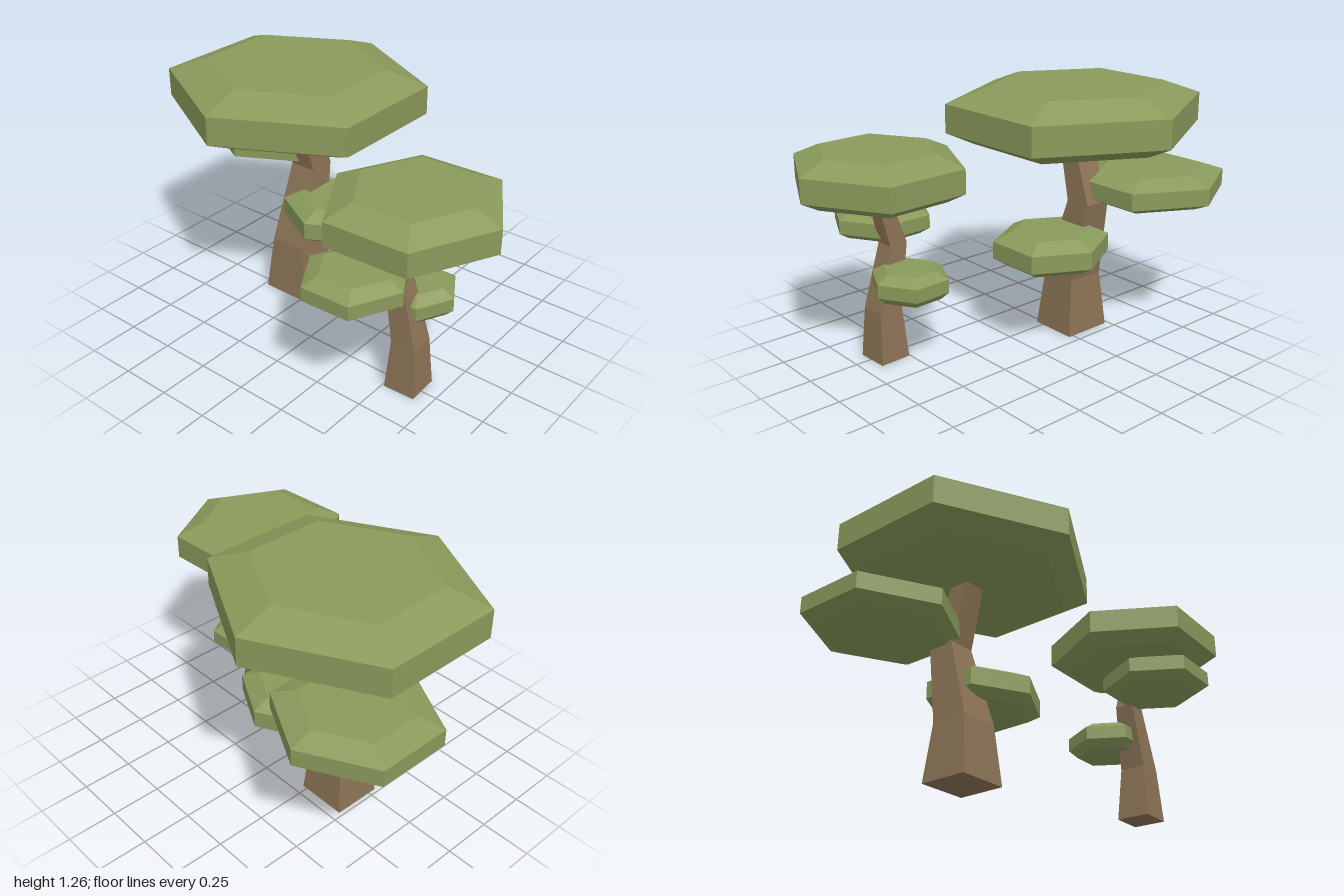
import * as THREE from 'three';

const leafGreen = new THREE.MeshStandardMaterial({ color: 0x8a9a5b });
leafGreen.name = 'leafGreen';
const barkBrown = new THREE.MeshStandardMaterial({ color: 0x8b7355 });
barkBrown.name = 'barkBrown';

// Split faces so every facet is shaded flat
function faceted(geometry) {
  const flat = geometry.toNonIndexed();
  flat.computeVertexNormals();
  return flat;
}

// Square trunk that bends and tapers; sections are [y, x, z, width, depth]
function makeTrunk(sections) {
  const rows = sections.length - 1;
  const geometry = new THREE.BoxGeometry(1, rows, 1, 1, rows, 1);
  const p = geometry.attributes.position;
  for (let i = 0; i < p.count; i++) {
    const [y, x, z, w, d] = sections[Math.round(p.getY(i) + rows / 2)];
    p.setXYZ(i, x + p.getX(i) * w, y, z + p.getZ(i) * d);
  }
  const mesh = new THREE.Mesh(faceted(geometry), barkBrown);
  mesh.name = 'trunk';
  return mesh;
}

// Flat six-sided foliage pad with bevelled top and bottom; ys lists its four heights
function makePad(name, x, z, rx, rz, ys, turn = 0) {
  const radii = [0.79, 1, 1, 0.69];
  const profile = [new THREE.Vector2(0, ys[0])];
  radii.forEach((r, i) => profile.push(new THREE.Vector2(r, ys[i])));
  profile.push(new THREE.Vector2(0, ys[3]));
  const geometry = new THREE.LatheGeometry(profile, 6);
  geometry.rotateY(turn).scale(rx, 1, rz).translate(x, 0, z);
  const mesh = new THREE.Mesh(faceted(geometry), leafGreen);
  mesh.name = name;
  return mesh;
}

export function createModel() {
  const model = new THREE.Group();
  model.name = 'flatTopTrees';

  // Large tree
  const large = new THREE.Group();
  large.name = 'largeTree';
  large.position.set(-0.352, 0, -0.08);
  large.add(
    makeTrunk([
      [0, 0, 0, 0.255, 0.243],
      [0.29, 0.002, -0.003, 0.2, 0.187],
      [0.695, 0.004, -0.102, 0.14, 0.136],
      [1.04, 0.002, 0.01, 0.11, 0.095],
    ]),
    makePad('topCanopy', 0, 0, 0.65, 0.605, [0.99, 1.05, 1.19, 1.26]),
    makePad('rearCanopy', -0.311, -0.23, 0.39, 0.365, [0.685, 0.72, 0.803, 0.843]),
    makePad('lowCanopy', 0.216, -0.07, 0.293, 0.277, [0.422, 0.458, 0.544, 0.587]),
  );

  // Small tree
  const small = new THREE.Group();
  small.name = 'smallTree';
  small.position.set(0.588, 0, 0.242);
  small.rotation.y = 0.041;
  const turn = Math.PI / 6;
  small.add(
    makeTrunk([
      [0, 0, 0, 0.16, 0.163],
      [0.255, 0.002, 0, 0.124, 0.128],
      [0.57, -0.068, 0, 0.095, 0.092],
      [0.85, 0.012, 0, 0.07, 0.07],
    ]),
    makePad('topCanopy', 0, 0, 0.41, 0.435, [0.815, 0.862, 0.978, 1.035], turn),
    makePad('frontCanopy', -0.158, 0.207, 0.246, 0.258, [0.56, 0.592, 0.66, 0.695], turn),
    makePad('lowCanopy', -0.053, -0.146, 0.187, 0.195, [0.348, 0.385, 0.45, 0.485], turn),
  );

  model.add(large, small);
  return model;
}
